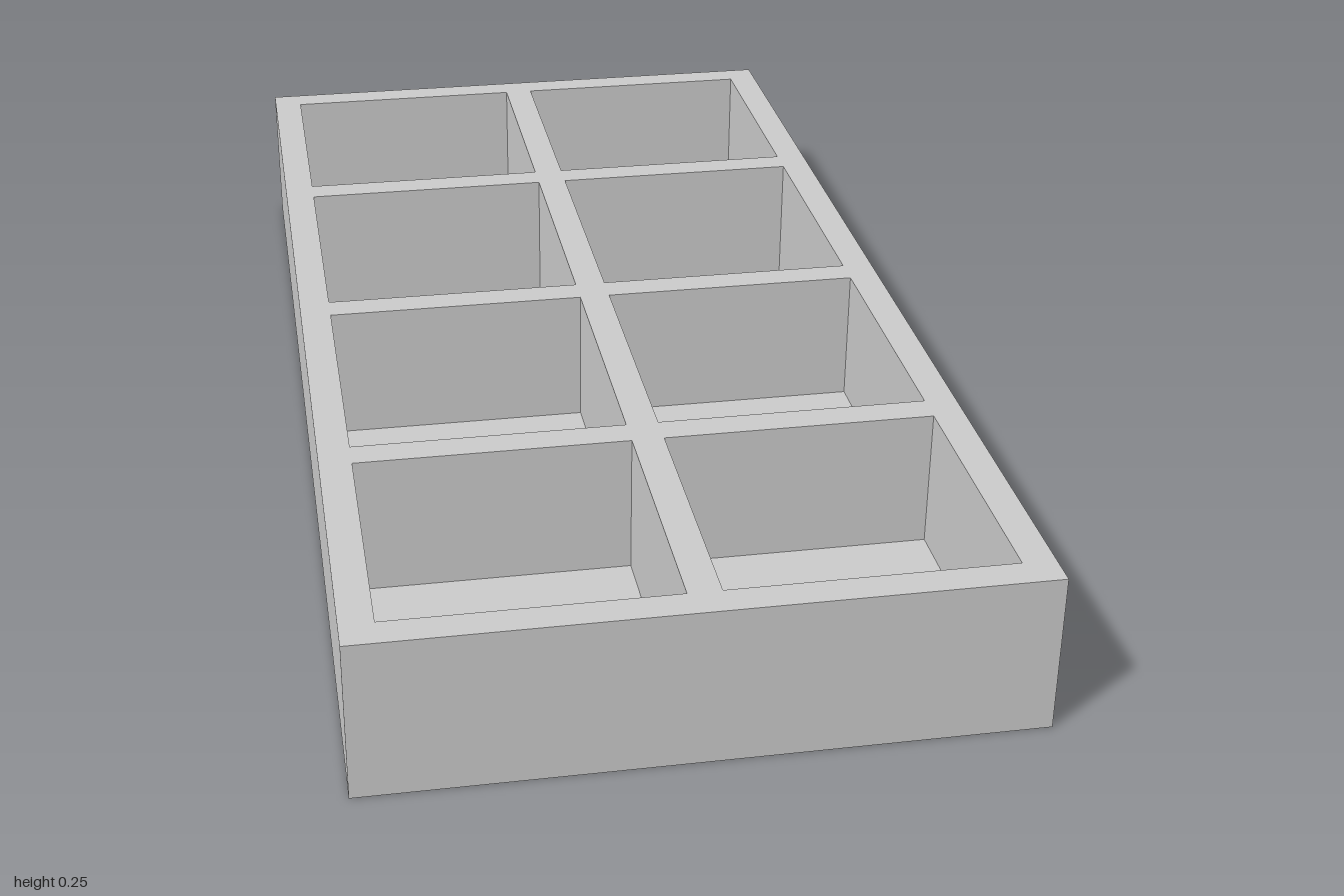
import * as THREE from 'three';

const WIDTH = 1, LENGTH = 2, HEIGHT = 0.25;
const WALL = 0.05, FLOOR = 0.025;
const COLS = 2, ROWS = 4;

// Start and end of each compartment along one axis: full outer walls, dividers centred on the pitch
function spans(count, size) {
  const pitch = size / count;
  return Array.from({ length: count }, (_, i) => [
    -size / 2 + i * pitch + (i === 0 ? WALL : WALL / 2),
    -size / 2 + (i + 1) * pitch - (i === count - 1 ? WALL : WALL / 2),
  ]);
}

function rectangle(Type, x0, x1, y0, y1) {
  return new Type([
    new THREE.Vector2(x0, y0), new THREE.Vector2(x1, y0),
    new THREE.Vector2(x1, y1), new THREE.Vector2(x0, y1),
  ]);
}

export function createModel() {
  const model = new THREE.Group();
  model.name = 'compartmentTray';
  const material = new THREE.MeshStandardMaterial({ color: 0xcccccc, flatShading: true });

  // Outer walls and dividers: one slab pierced by the compartments
  const outline = rectangle(THREE.Shape, -WIDTH / 2, WIDTH / 2, -LENGTH / 2, LENGTH / 2);
  for (const [x0, x1] of spans(COLS, WIDTH)) {
    for (const [z0, z1] of spans(ROWS, LENGTH)) {
      outline.holes.push(rectangle(THREE.Path, x0, x1, z0, z1));
    }
  }
  const wallGeometry = new THREE.ExtrudeGeometry(outline, { depth: HEIGHT - FLOOR, bevelEnabled: false });
  wallGeometry.rotateX(-Math.PI / 2);
  const walls = new THREE.Mesh(wallGeometry, material);
  walls.name = 'wallsAndDividers';
  walls.position.y = FLOOR;
  model.add(walls);

  // Thin closed floor
  const floor = new THREE.Mesh(new THREE.BoxGeometry(WIDTH, FLOOR, LENGTH), material);
  floor.name = 'floor';
  floor.position.y = FLOOR / 2;
  model.add(floor);

  return model;
}
